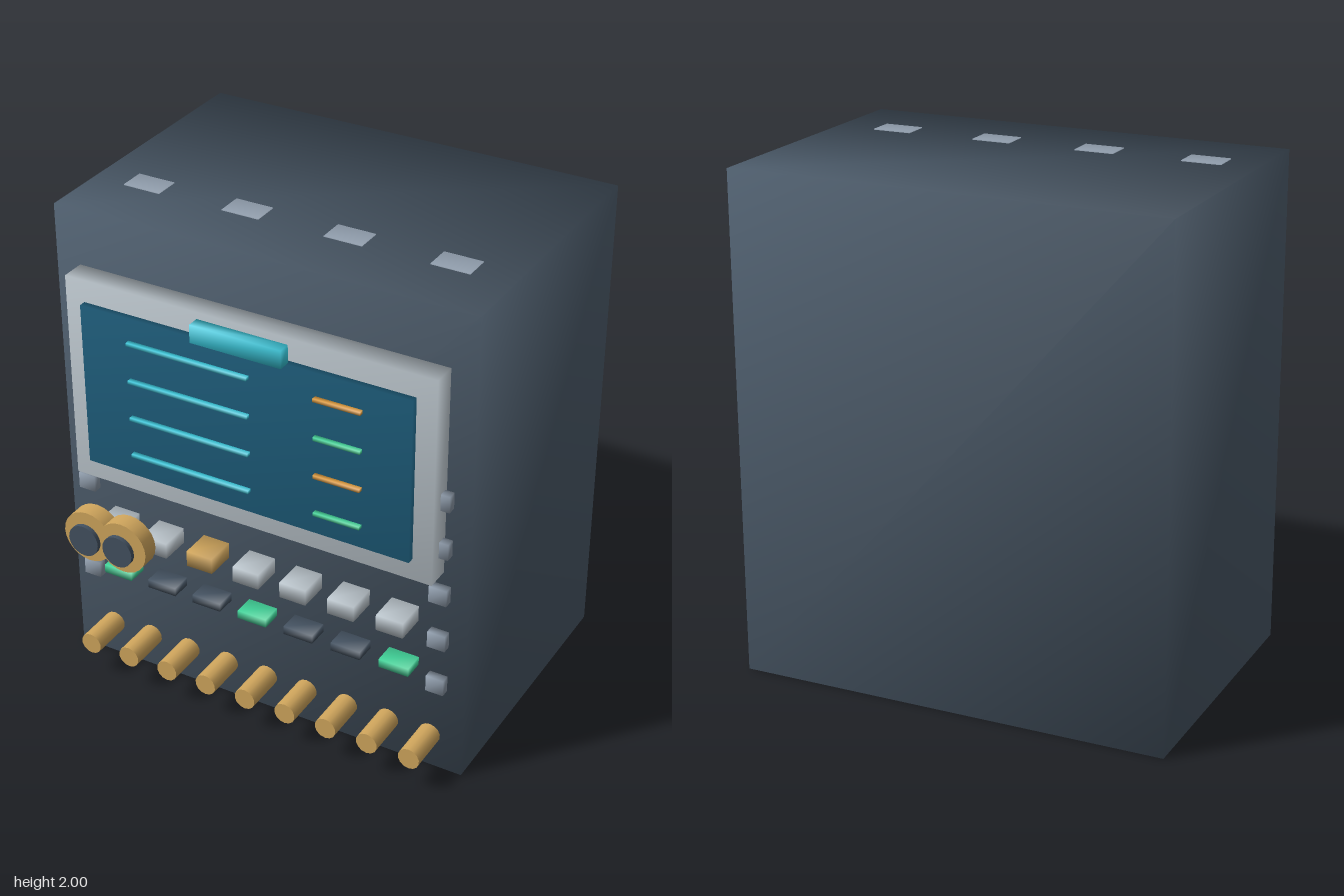
import * as THREE from 'three';
import { mergeVertices } from 'three/addons/utils/BufferGeometryUtils.js';

const paint = (name, color) => {
  const m = new THREE.MeshStandardMaterial({ color });
  m.name = name;
  return m;
};

export function createModel() {
  const group = new THREE.Group();
  const slate = paint('slate casing', 0x4b5a69);
  const silver = paint('silver', 0xbcc6cd);
  const steel = paint('steel', 0x8f9cab);
  const screenBlue = paint('screen blue', 0x1d5c7a);
  const cyan = paint('cyan', 0x35c3d6);
  const green = paint('green', 0x3fcf96);
  const orange = paint('orange', 0xd9983a);
  const brass = paint('brass', 0xcfa55c);
  const dark = paint('dark slate', 0x435160);

  // box from min/max corners, with corner normals shared for soft shading
  function box(name, mat, [x0, x1], [y0, y1], [z0, z1]) {
    let g = new THREE.BoxGeometry(x1 - x0, y1 - y0, z1 - z0);
    g.deleteAttribute('normal');
    g.deleteAttribute('uv');
    g = mergeVertices(g);
    g.computeVertexNormals();
    const mesh = new THREE.Mesh(g, mat);
    mesh.name = name;
    mesh.position.set((x0 + x1) / 2, (y0 + y1) / 2, (z0 + z1) / 2);
    group.add(mesh);
  }
  // cylinder pointing forward
  function peg(name, mat, r, x, y, z0, z1, sides) {
    const g = new THREE.CylinderGeometry(r, r, z1 - z0, sides).rotateX(Math.PI / 2);
    const mesh = new THREE.Mesh(g, mat);
    mesh.name = name;
    mesh.position.set(x, y, (z0 + z1) / 2);
    group.add(mesh);
  }
  const span = (c, w) => [c - w / 2, c + w / 2];

  // cabinet, bezel and display
  box('cabinet', slate, [-0.872, 0.868], [0, 1.996], [-0.727, 0.432]);
  box('bezel', silver, [-0.77, 0.765], [0.915, 1.77], [0.425, 0.53]);
  box('screen', screenBlue, [-0.69, 0.685], [1.005, 1.68], [0.5, 0.558]);
  box('screenLamp', cyan, [-0.19, 0.186], [1.682, 1.755], [0.548, 0.598]);

  // readout lines on the display
  for (let i = 0; i < 4; i++) {
    const y = span(1.584 - i * 0.16, 0.014);
    box('readoutLine', cyan, [-0.48, 0.03], y, [0.56, 0.58]);
    box('readoutValue', i % 2 ? green : orange, [0.305, 0.495], y, [0.565, 0.585]);
  }

  // twin dials with dark caps
  for (const x of [-0.62, -0.467]) {
    peg('dial', brass, 0.108, x, 0.755, 0.626, 0.695, 24);
    peg('dialCap', dark, 0.066, x, 0.755, 0.71, 0.728, 24);
  }

  // button row and indicator row
  for (let i = 0; i < 7; i++) {
    const x = -0.618 + i * 0.205;
    box('button', i === 2 ? brass : silver, span(x, 0.112), [0.66, 0.727], [0.425, 0.558]);
    box('indicator', i % 3 === 0 ? green : dark, span(x, 0.125), [0.458, 0.494], [0.425, 0.518]);
  }

  // bottom row of plugs
  for (let i = 0; i < 9; i++) peg('plug', brass, 0.045, -0.707 + i * 0.1795, 0.15, 0.425, 0.605, 14);

  // clips down both sides of the front
  for (const side of [-1, 1]) {
    for (let i = 0; i < 5; i++) {
      box('sideClip', steel, span(side * 0.767 - 0.002, 0.073), span(0.425 + i * 0.205, 0.068), [0.444, 0.48]);
    }
  }

  // vents on the lid
  for (let i = 0; i < 4; i++) {
    box('lidVent', steel, span(-0.656 + i * 0.427, 0.155), [1.98, 2], [0.073, 0.178]);
  }
  return group;
}
